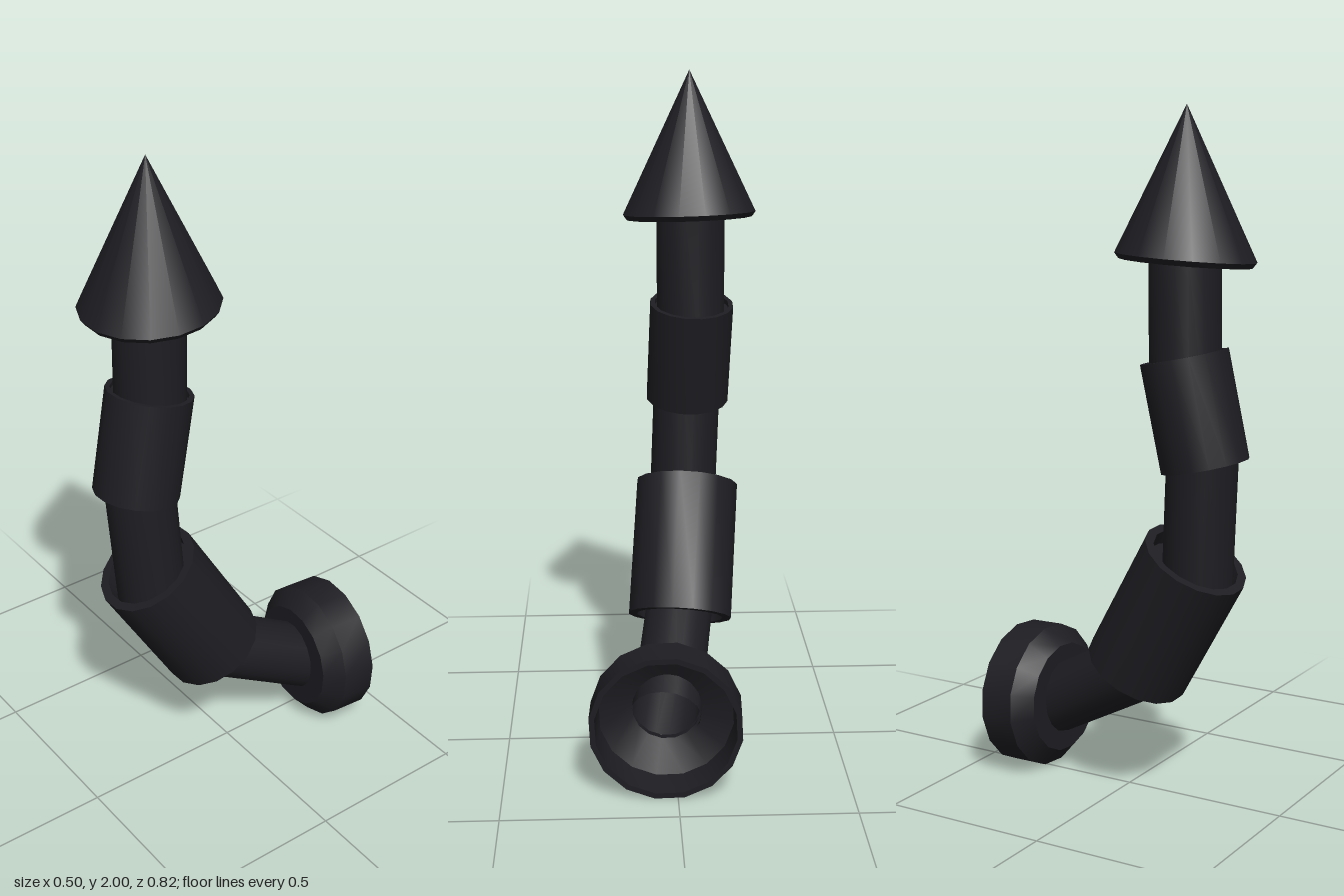
import * as THREE from 'three';
import { toCreasedNormals } from 'three/addons/utils/BufferGeometryUtils.js';

const SIDES = 16;
const material = new THREE.MeshStandardMaterial({ color: 0x1e1d22, side: THREE.DoubleSide });

// Turned part; profile is [radius, height] pairs
function turned(profile) {
  const points = profile.map(([r, h]) => new THREE.Vector2(r, h));
  const geometry = new THREE.LatheGeometry(points, SIDES, Math.PI / SIDES, Math.PI * 2);
  return toCreasedNormals(geometry, 0.6);
}

// Mesh starting at point a with its axis aimed at point b
function place(name, a, b, makeProfile) {
  const start = new THREE.Vector3(...a);
  const axis = new THREE.Vector3(...b).sub(start);
  const mesh = new THREE.Mesh(turned(makeProfile(axis.length())), material);
  mesh.name = name;
  mesh.position.copy(start);
  mesh.quaternion.setFromUnitVectors(new THREE.Vector3(0, 1, 0), axis.normalize());
  return mesh;
}

// Plain open pipe
const pipe = (r) => (len) => [[r, 0], [r, len]];

// Sleeve with a recessed opening at both ends
const sleeve = (r, inner, recess) => (len) => [
  [0, recess], [inner, recess], [inner, 0], [r, 0],
  [r, len], [inner, len], [inner, len - recess], [0, len - recess],
];

export function createModel() {
  const group = new THREE.Group();

  // Pipe sections, from the cup up to the tip
  group.add(
    place('lowerPipe', [0.03, 0.21, -0.28], [-0.03, 0.42, 0.115], pipe(0.102)),
    place('middlePipe', [-0.04, 0.65, 0.248], [-0.058, 1.12, 0.275], pipe(0.102)),
    place('upperPipe', [-0.064, 1.2, 0.22], [-0.062, 1.585, 0.215], pipe(0.102)),
  );

  // Sleeves covering the bends
  group.add(
    place('largeSleeve', [-0.024, 0.382, 0.042], [-0.056, 0.74, 0.252], sleeve(0.157, 0.131, 0.05)),
    place('smallSleeve', [-0.057, 1.01, 0.28], [-0.067, 1.315, 0.217], sleeve(0.126, 0.112, 0.015)),
  );

  // Hollow cup at the bottom, opening to the back
  group.add(place('cup', [0.027, 0.225, -0.245], [0.035, 0.22, -0.402], (len) => [
    [0.1, 0], [0.167, 0], [0.219, 0.05], [0.219, len],
    [0.203, len], [0.195, 0.065], [0.1, 0.02],
  ]));

  // Pointed tip with a slightly slanted base
  const tip = place('tip', [-0.058, 1.587, 0.215], [-0.058, 2, 0.215], (len) => [
    [0, -0.015], [0.187, -0.015], [0.198, 0], [0, len],
  ]);
  tip.geometry.applyMatrix4(new THREE.Matrix4().set(
    1, 0, 0, 0,
    -0.03, 1, -0.07, 0,
    0, 0, 1, 0,
    0, 0, 0, 1,
  ));
  group.add(tip);

  return group;
}
